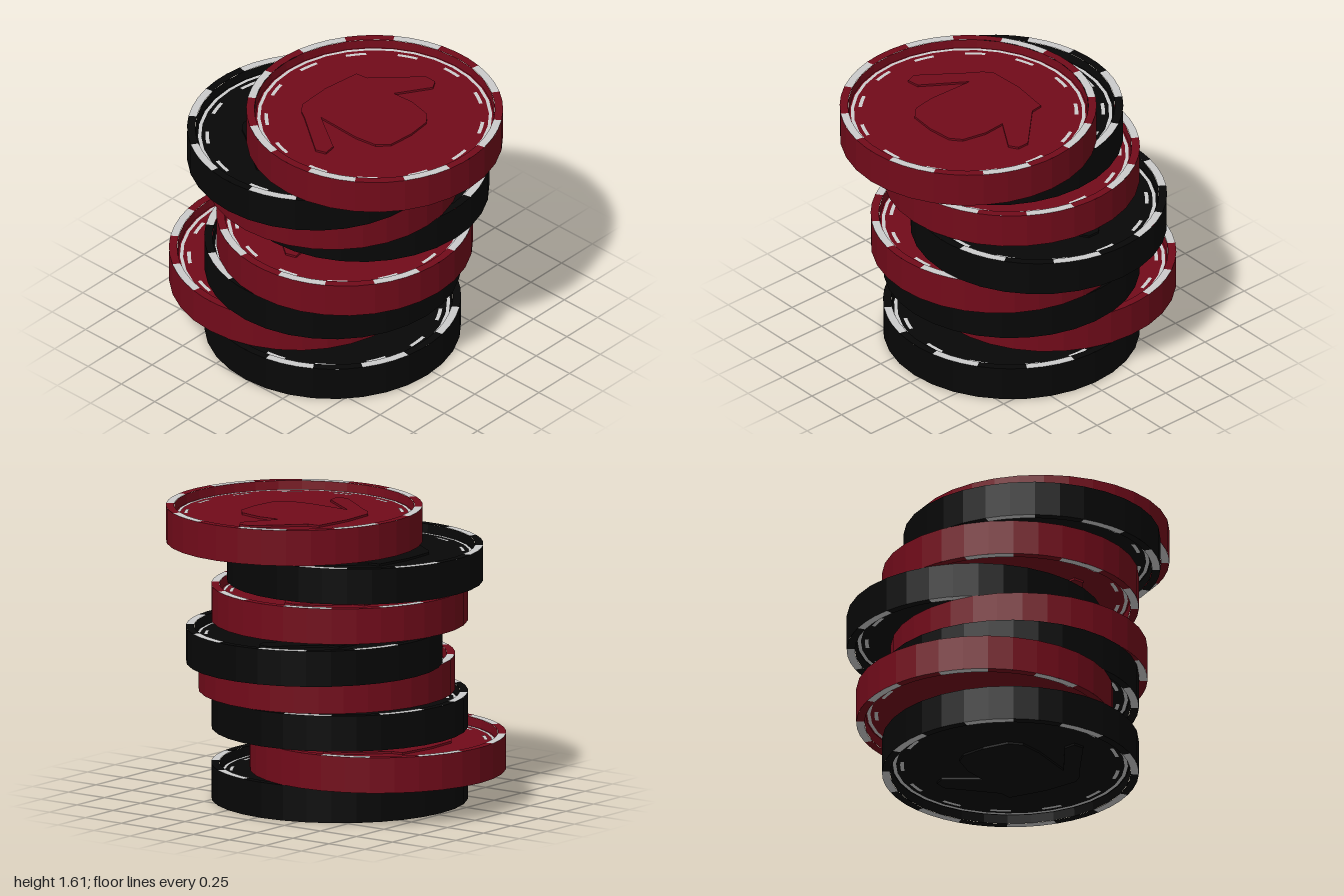
import * as THREE from 'three';
import { mergeGeometries } from 'three/addons/utils/BufferGeometryUtils.js';

const R = 0.709, RIM = 0.664, H = 0.2, PITCH = 0.2013, DISH = 0.05, SIDES = 32, PATCHES = 16;
const FLOOR = H / 2 - DISH;

const material = (color) => new THREE.MeshStandardMaterial({ color, flatShading: true });

// Every second section of the flat rim, starting at the given section
function rimSections(first) {
  const step = (Math.PI * 2) / PATCHES;
  const parts = [];
  for (let i = first; i < PATCHES; i += 2) {
    parts.push(new THREE.RingGeometry(RIM, R, SIDES / PATCHES, 1, (i - 0.5) * step, step));
  }
  return mergeGeometries(parts).rotateX(-Math.PI / 2).translate(0, H / 2, 0);
}

// Printed line and dashes, lying just above the sunken face
function markings() {
  const parts = [new THREE.RingGeometry(0.631, 0.649, SIDES)];
  const dashes = 13, length = 0.19;
  for (let i = 0; i < dashes; i++) {
    const middle = Math.PI / 2 - 0.17 - (i * Math.PI * 2) / dashes;
    parts.push(new THREE.RingGeometry(0.588, 0.608, 1, 1, middle - length / 2, length));
  }
  return mergeGeometries(parts).rotateX(-Math.PI / 2).translate(0, FLOOR + 0.002, 0);
}

// Low raised ornament in the middle of the face: a body with two sloping arms
function ornament() {
  const outline = [
    [-0.2, 0.36], [0, 0.37], [0.22, 0.34], [0.23, 0.27], [0.46, 0.04], [0.46, -0.03], [0.41, -0.06],
    [0.22, 0.06], [0.23, -0.07], [0.2, -0.21], [0.14, -0.26], [0, -0.275], [-0.15, -0.26], [-0.21, -0.2],
    [-0.23, -0.07], [-0.22, 0.2], [-0.38, -0.04], [-0.45, -0.05], [-0.47, 0.01], [-0.28, 0.27], [-0.25, 0.32],
  ].map(([x, y]) => new THREE.Vector2(x, y));
  return new THREE.ExtrudeGeometry(new THREE.Shape(outline), { depth: 0.012, bevelEnabled: false })
    .rotateX(-Math.PI / 2).translate(0, FLOOR, 0);
}

export function createModel() {
  const model = new THREE.Group();
  model.name = 'chipStack';

  const red = material(0x720b1a), black = material(0x070707), pale = material(0xcccccc);
  const wall = new THREE.CylinderGeometry(R, R, H, SIDES, 1, true);
  const disc = new THREE.CircleGeometry(RIM, SIDES).rotateX(-Math.PI / 2).translate(0, FLOOR, 0);
  // Profile runs downwards so that the wall faces the centre
  const step = new THREE.LatheGeometry([new THREE.Vector2(RIM, H / 2), new THREE.Vector2(RIM - 0.006, FLOOR)], SIDES);
  const plainRim = rimSections(0), paleRim = rimSections(1), lines = markings(), relief = ornament();

  const add = (parent, name, geometry, mat) => {
    const mesh = new THREE.Mesh(geometry, mat);
    mesh.name = name;
    parent.add(mesh);
  };

  // Centre of each chip as [x, z], from the bottom up
  const centres = [
    [-0.045, -0.025], [-0.045, -0.29], [-0.045, -0.025], [-0.045, 0.065],
    [0.185, -0.025], [-0.045, -0.025], [-0.185, -0.025], [-0.045, 0.29],
  ];

  centres.forEach(([x, z], i) => {
    const color = i % 2 ? red : black;
    const chip = new THREE.Group();
    chip.name = i % 2 ? 'redChip' : 'blackChip';
    chip.position.set(x, H / 2 + i * PITCH, z);
    add(chip, 'edgeWall', wall, color);

    // The same face on the top and, turned over, underneath
    for (const side of ['top', 'bottom']) {
      const face = new THREE.Group();
      face.name = side + 'Face';
      if (side === 'bottom') face.rotation.x = Math.PI;
      add(face, 'sunkenDisc', disc, color);
      add(face, 'innerWall', step, color);
      add(face, 'rimSections', plainRim, color);
      add(face, 'paleRimSections', paleRim, pale);
      add(face, 'ringAndDashes', lines, pale);
      add(face, 'raisedOrnament', relief, color);
      chip.add(face);
    }
    model.add(chip);
  });

  return model;
}
